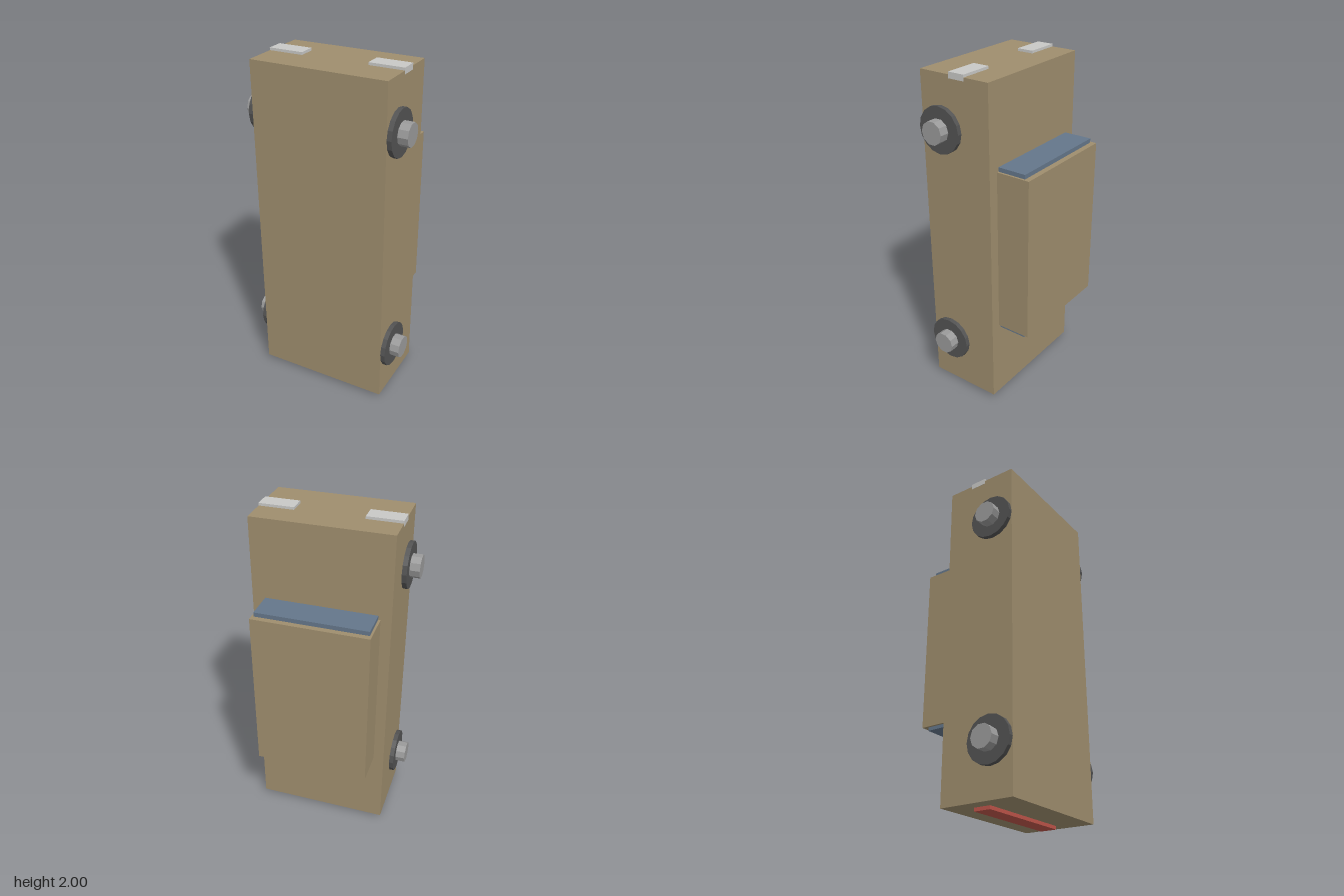
import * as THREE from 'three';

const paint = (name, color) => {
  const m = new THREE.MeshStandardMaterial({ color, flatShading: true });
  m.name = name;
  return m;
};

export function createModel() {
  const tan = paint('tan paint', 0x9e8d6d);
  const glass = paint('blue glass', 0x64768a);
  const rubber = paint('dark rubber', 0x535353);
  const metal = paint('grey metal', 0x9a9a9a);
  const lamp = paint('pale lamp', 0xc8c8c6);
  const red = paint('red lamp', 0xbc5449);

  const model = new THREE.Group();
  model.name = 'uprightCar';

  // Box given by its limits on each axis
  const box = (name, mat, [x0, x1], [y0, y1], [z0, z1]) => {
    const mesh = new THREE.Mesh(new THREE.BoxGeometry(x1 - x0, y1 - y0, z1 - z0), mat);
    mesh.position.set((x0 + x1) / 2, (y0 + y1) / 2, (z0 + z1) / 2);
    mesh.name = name;
    model.add(mesh);
  };

  // Body with its nose up, and the cabin on its back side
  box('body', tan, [-0.4, 0.4], [0.02, 1.985], [-0.125, 0.325]);
  box('cabin', tan, [-0.338, 0.338], [0.51, 1.49], [-0.33, -0.125]);

  // Windscreen and rear window
  box('windscreen', glass, [-0.325, 0.325], [1.485, 1.515], [-0.297, -0.125]);
  box('rearWindow', glass, [-0.325, 0.325], [0.49, 0.515], [-0.297, -0.125]);

  // Lamps
  box('leftHeadlight', lamp, [0.197, 0.401], [1.965, 2], [0.03, 0.13]);
  box('rightHeadlight', lamp, [-0.401, -0.197], [1.965, 2], [0.03, 0.13]);
  box('tailLight', red, [-0.317, 0.317], [0, 0.025], [0.03, 0.13]);

  // Wheels: a tyre disc with a hub standing out of it
  const disc = (name, mat, radius, sides, x0, x1) => {
    const geo = new THREE.CylinderGeometry(radius, radius, x1 - x0, sides);
    geo.rotateZ(-Math.PI / 2).translate((x0 + x1) / 2, 0, 0);
    const mesh = new THREE.Mesh(geo, mat);
    mesh.name = name;
    return mesh;
  };
  for (const side of [1, -1]) {
    for (const y of [0.325, 1.68]) {
      const wheel = new THREE.Group();
      wheel.name = (side > 0 ? 'left' : 'right') + (y > 1 ? 'FrontWheel' : 'RearWheel');
      wheel.add(disc('tyre', rubber, 0.134, 16, 0.36, 0.427));
      wheel.add(disc('hub', metal, 0.067, 10, 0.4, 0.485));
      wheel.position.set(0, y, 0.191);
      if (side < 0) wheel.rotation.y = Math.PI;
      model.add(wheel);
    }
  }
  return model;
}
